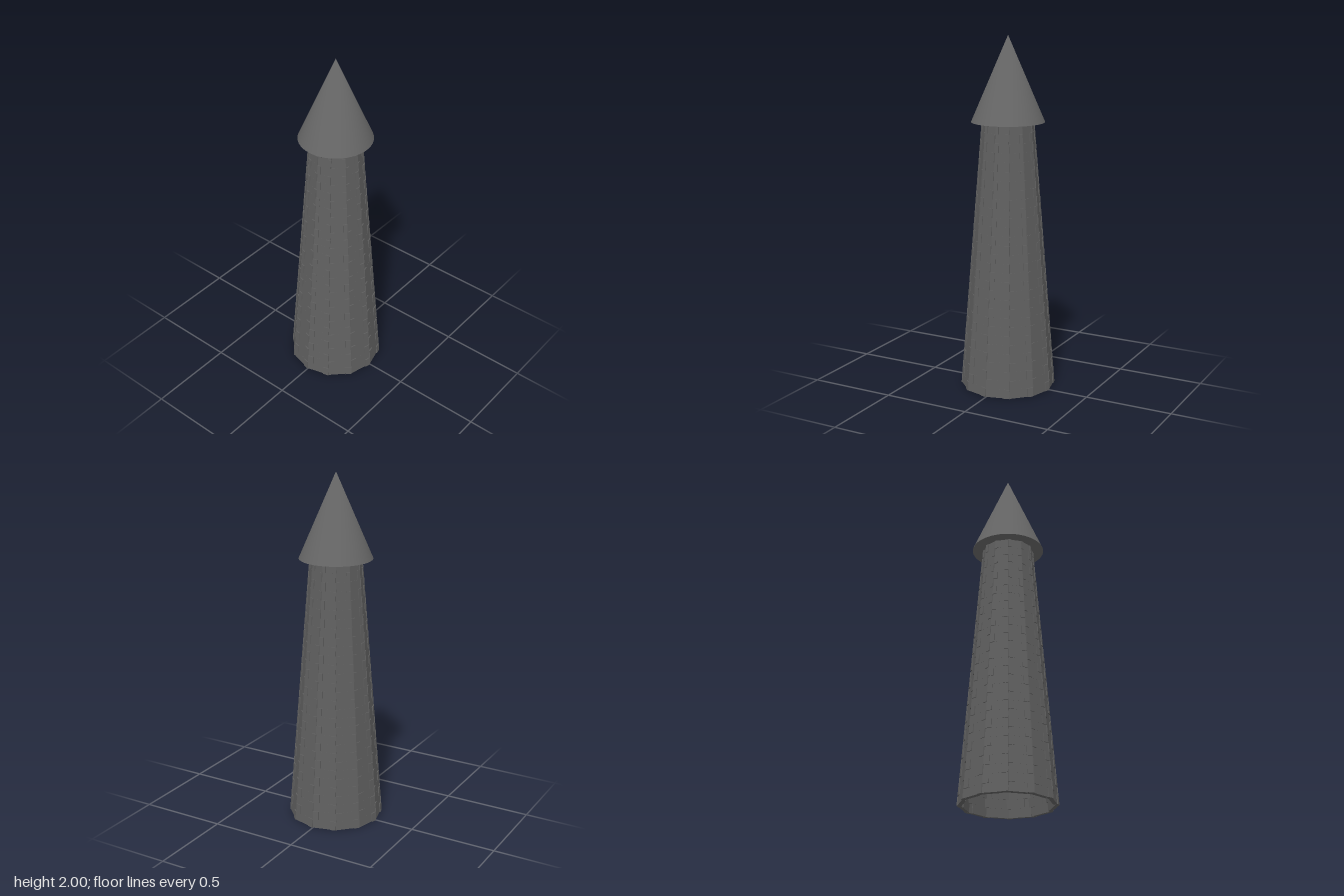
import * as THREE from 'three';
import { mergeGeometries } from 'three/addons/utils/BufferGeometryUtils.js';

const SIDES = 12;
const COURSES = 30;
const WALL_HEIGHT = 1.525;
const BOTTOM = 0.257; // distance from the axis to the middle of a facet
const TOP = 0.137;
const THICKNESS = 0.022;
const SHORT = 0.25; // share of a facet taken by its short corner brick
const PROUD = 0.005; // how far the short brick stands out

// One ring: each facet has a long brick and a proud short one at the given end (+1 or -1)
function courseGeometry(apothem, y, height, end) {
  const length = 2 * apothem * Math.tan(Math.PI / SIDES);
  const lean = -Math.atan((BOTTOM - TOP) / WALL_HEIGHT);
  const bricks = [];
  for (let i = 0; i < SIDES; i++) {
    for (const [share, offset, proud] of [
      [1 - SHORT, (-end * SHORT) / 2, 0],
      [SHORT, (end * (1 - SHORT)) / 2, PROUD],
    ]) {
      const brick = new THREE.BoxGeometry(share * length, height, THICKNESS);
      brick.translate(0, 0, -THICKNESS / 2);
      brick.rotateX(lean);
      brick.translate(offset * length, y, apothem + proud);
      brick.rotateY(((i + 0.5) / SIDES) * Math.PI * 2);
      bricks.push(brick);
    }
  }
  return mergeGeometries(bricks);
}

export function createModel() {
  const model = new THREE.Group();
  model.name = 'tower';
  const stone = new THREE.MeshStandardMaterial({ color: 0x606060 });
  const slate = new THREE.MeshStandardMaterial({ color: 0x666666 });

  // Tapering hollow wall; the short bricks swap ends from course to course
  const wall = new THREE.Group();
  wall.name = 'brickWall';
  const step = WALL_HEIGHT / COURSES;
  for (let i = 0; i < COURSES; i++) {
    const apothem = THREE.MathUtils.lerp(BOTTOM, TOP, (i + 0.5) / COURSES);
    const course = new THREE.Mesh(courseGeometry(apothem, (i + 0.5) * step, step, i % 2 ? -1 : 1), stone);
    course.name = `brickCourse${i + 1}`;
    wall.add(course);
  }
  model.add(wall);

  // Pointed roof, its shading rounded off towards the tip
  const segments = 64;
  const roofHeight = 2 - WALL_HEIGHT;
  const cone = new THREE.ConeGeometry(0.205, roofHeight, segments);
  for (let i = 0; i <= segments; i++) cone.attributes.normal.setXYZ(i, 0, 1, 0);
  const roof = new THREE.Mesh(cone, slate);
  roof.name = 'roof';
  roof.position.y = WALL_HEIGHT + roofHeight / 2;
  model.add(roof);

  return model;
}
